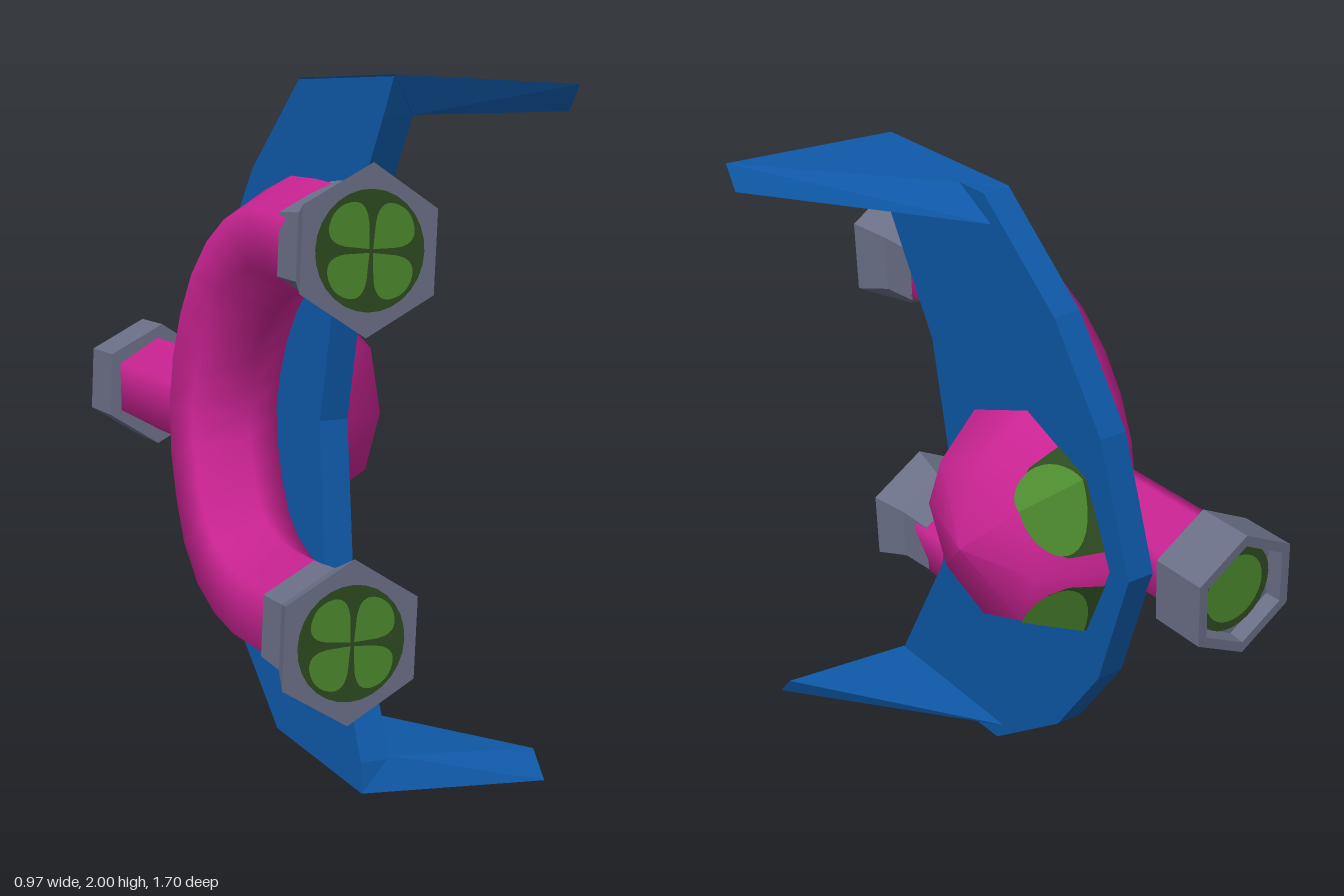
import * as THREE from 'three';
import { ConvexGeometry } from 'three/addons/geometries/ConvexGeometry.js';

const V = (x, y, z) => new THREE.Vector3(x, y, z);

function mat(name, color) {
  const m = new THREE.MeshStandardMaterial({ color });
  m.name = name;
  return m;
}

function flat(geo) {
  const g = geo.index ? geo.toNonIndexed() : geo;
  g.computeVertexNormals();
  return g;
}

export function createModel() {
  const root = new THREE.Group();
  const blue = mat('blue', 0x0e58a6);
  const pink = mat('magenta', 0xcc2494);
  const gray = mat('slate gray', 0x696e85);
  const dark = mat('dark green', 0x2d4b20);
  const light = mat('leaf green', 0x4c892e);

  const add = (parent, name, geo, material) => {
    const m = new THREE.Mesh(geo, material);
    m.name = name;
    parent.add(m);
    return m;
  };

  // Crescent wing: outline in (z, y), extruded sideways and leaned slightly
  const outline = [
    [0, 1.98], [-0.3, 1.7], [-0.49, 1.39], [-0.6, 0.97], [-0.45, 0.55], [-0.24, 0.26], [0.1, 0.01],
    [0.66, 0.005], [0.645, 0.09], [0.355, 0.58], [0.265, 1.0], [0.315, 1.42], [0.54, 1.89], [0.585, 1.995],
  ].map(([z, y]) => new THREE.Vector2(z, y));
  const wing = new THREE.ExtrudeGeometry(new THREE.Shape(outline), { depth: 0.09, bevelEnabled: false });
  wing.rotateY(-Math.PI / 2);
  const wp = wing.attributes.position;
  for (let i = 0; i < wp.count; i++) {
    wp.setX(i, wp.getX(i) + 0.03 + 0.063 * (wp.getY(i) - 2) + 0.03 * wp.getZ(i));
  }
  add(root, 'wing', flat(wing), blue);

  // Folded wing tips: triangular slabs
  add(root, 'upperWingTip', new ConvexGeometry([
    V(-0.06, 1.985, 0), V(-0.04, 2.0, 0.59), V(0.48, 1.972, 0.685),
    V(0.02, 1.895, -0.03), V(0.035, 1.89, 0.545), V(0.48, 1.897, 0.635),
  ]), blue);
  add(root, 'lowerWingTip', new ConvexGeometry([
    V(-0.18, 0.01, 0.1), V(-0.165, 0.005, 0.66), V(0.36, 0, 0.78),
    V(-0.09, 0.08, 0.06), V(-0.07, 0.097, 0.645), V(0.36, 0.075, 0.715),
  ]), blue);

  // Eight-sided dome on the outer side of the wing
  const dome = new THREE.Group();
  dome.name = 'dome';
  dome.position.set(-0.037, 0.98, -0.145);
  dome.rotation.set(-0.035, 0.03, -0.063);
  root.add(dome);
  const rings = [[0.375, 0], [0.268, 0.185], [0, 0.265]];
  const domeGeo = new THREE.LatheGeometry(rings.map(([r, h]) => new THREE.Vector2(r, h)), 8);
  domeGeo.rotateZ(-Math.PI / 2);
  add(dome, 'domeShell', domeGeo, pink);

  // Point on the dome's lowest band of facets
  const bandPoint = (phi, t, lift) => {
    const step = Math.PI / 4, k = Math.floor(phi / step + 1e-6), f = phi / step - k;
    const r = THREE.MathUtils.lerp(rings[0][0], rings[1][0], t) * lift;
    const y = r * ((1 - f) * Math.sin(k * step) + f * Math.sin((k + 1) * step));
    const z = r * ((1 - f) * Math.cos(k * step) + f * Math.cos((k + 1) * step));
    return [rings[1][1] * t * lift, y, z];
  };
  // Eye patch: a fan around a point on the crease between two facets
  const eyePatch = (pts, side, lift) => {
    const at = ([a, t]) => {
      const [x, y, z] = bandPoint(Math.PI * 0.75 + a, t, lift);
      return [x, y * side, z];
    };
    const out = [];
    pts.forEach((p, i) => {
      const q = pts[(i + 1) % pts.length];
      const [b, c] = side > 0 ? [q, p] : [p, q];
      out.push(...at([0, 0.5]), ...at(b), ...at(c));
    });
    const g = new THREE.BufferGeometry();
    g.setAttribute('position', new THREE.Float32BufferAttribute(out, 3));
    g.computeVertexNormals();
    return g;
  };
  const oval = [];
  for (let i = 0; i < 32; i++) {
    const a = (i / 32) * Math.PI * 2, c = Math.cos(a);
    oval.push([Math.abs(c) < 1e-6 ? 0 : c * (c > 0 ? 0.58 : 0.33), 0.52 + 0.47 * Math.sin(a)]);
  }
  const socket = [[0.61, 0], [0.61, 0.5], [0.5, 0.75], [0, 0.85], [-0.26, 0.75], [-0.36, 0.5], [-0.36, 0], [0, 0]];
  for (const side of [1, -1]) {
    add(dome, 'eyeSocket', eyePatch(socket, side, 1.01), dark);
    add(dome, 'eye', eyePatch(oval, side, 1.02), light);
  }

  // Bent pipe joining the two front nozzles, with a stub to the rear
  const bend = new THREE.CatmullRomCurve3([
    V(-0.222, 1.545, 0.6), V(-0.23, 1.545, 0.3), V(-0.24, 1.41, 0.06), V(-0.255, 1.2, -0.07), V(-0.265, 0.98, -0.11),
    V(-0.275, 0.78, -0.05), V(-0.285, 0.6, 0.08), V(-0.288, 0.508, 0.3), V(-0.286, 0.51, 0.65),
  ]);
  add(root, 'bentPipe', new THREE.TubeGeometry(bend, 16, 0.168, 6), pink);
  const stub = new THREE.LineCurve3(V(-0.262, 0.985, -0.05), V(-0.28, 0.972, -0.7));
  add(root, 'rearPipe', new THREE.TubeGeometry(stub, 1, 0.155, 6), pink);

  // Six-sided nozzles
  const hexLathe = (pts) => {
    const g = new THREE.LatheGeometry(pts.map(([r, h]) => new THREE.Vector2(r, h)), 6);
    g.rotateX(Math.PI / 2);
    return flat(g);
  };
  const nozzle = (name, pos, axis, roll, profile) => {
    const n = new THREE.Group();
    n.name = name;
    n.position.copy(pos);
    n.lookAt(pos.clone().add(axis));
    n.rotateZ(roll);
    root.add(n);
    add(n, 'nozzleShell', hexLathe(profile), gray);
    return n;
  };
  const disc = (parent, name, r, z, material) => {
    add(parent, name, new THREE.CircleGeometry(r, 28), material).position.z = z;
  };

  // Four-lobed inlay for the front nozzles
  const lobe = new THREE.Shape();
  lobe.moveTo(0.005, 0.005);
  lobe.lineTo(0.075, 0.01);
  lobe.quadraticCurveTo(0.13, 0.018, 0.125, 0.06);
  lobe.quadraticCurveTo(0.115, 0.115, 0.06, 0.125);
  lobe.quadraticCurveTo(0.018, 0.13, 0.01, 0.075);
  const lobeGeo = new THREE.ShapeGeometry(lobe, 6);

  const flare = [[0.172, -0.24], [0.18, -0.11], [0.228, 0], [0, 0]];
  for (const [name, pos] of [['upperNozzle', V(-0.215, 1.553, 0.792)], ['lowerNozzle', V(-0.285, 0.515, 0.833)]]) {
    const n = nozzle(name, pos, V(0.03, 0.03, 1), -0.063, flare);
    disc(n, 'nozzleFace', 0.16, 0.004, dark);
    for (let i = 0; i < 4; i++) {
      const l = add(n, 'nozzleLobe', lobeGeo, light);
      l.position.z = 0.008;
      l.rotation.z = (i * Math.PI) / 2;
    }
  }

  const rear = nozzle('rearNozzle', V(-0.28, 0.967, -0.84), V(-0.03, -0.03, -1), 0.063, [
    [0.14, -0.18], [0.2, -0.18], [0.2, 0], [0.165, 0], [0.16, -0.05], [0, -0.05],
  ]);
  disc(rear, 'rearFace', 0.138, -0.046, dark);
  disc(rear, 'rearGlow', 0.108, -0.042, light);

  return root;
}
